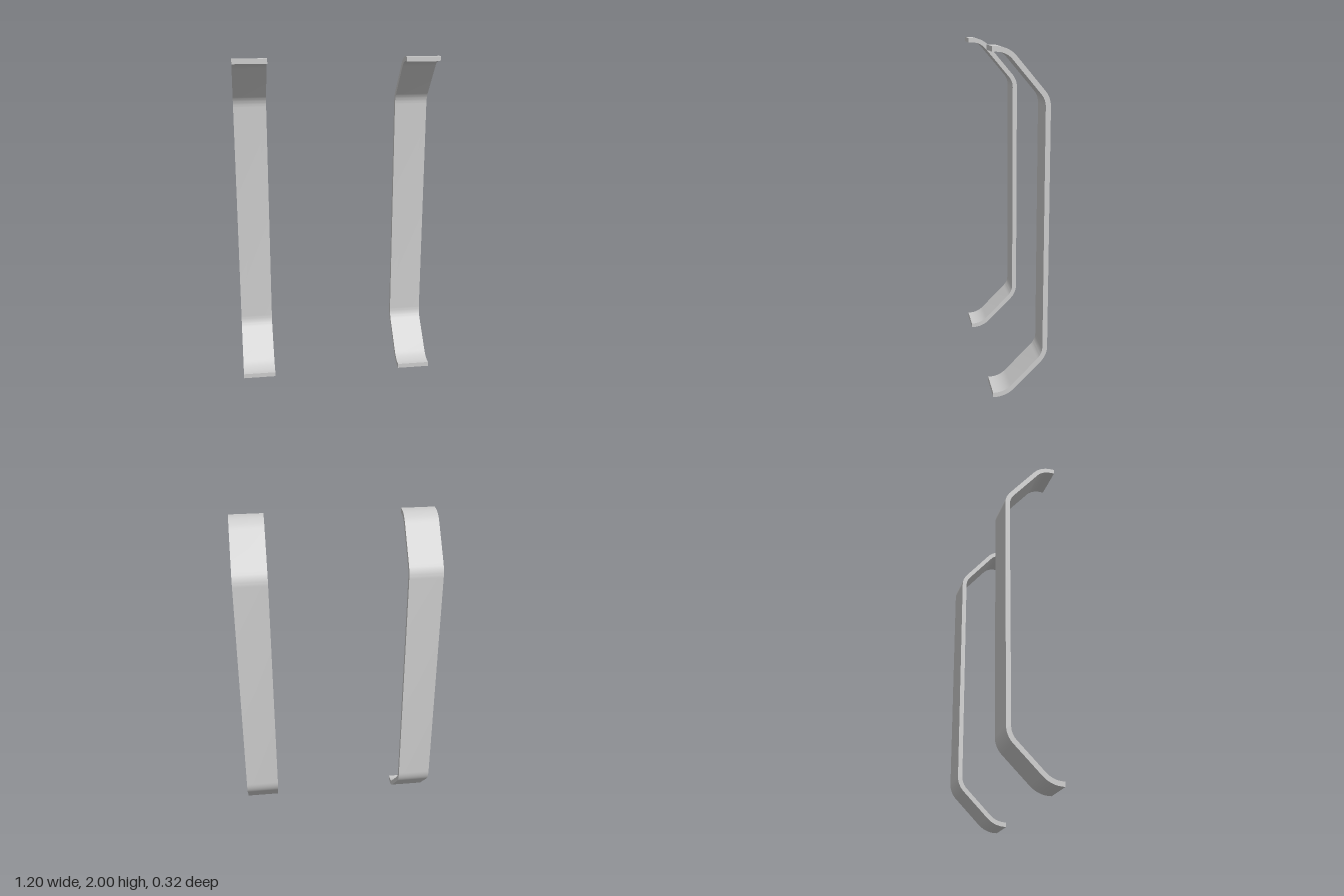
import * as THREE from 'three';
import { toCreasedNormals } from 'three/addons/utils/BufferGeometryUtils.js';

const THICKNESS = 0.028, WIDTH = 0.2, ARC_STEPS = 10;

// Centre line corners in (z, y), with a bend radius at each inner corner
const CORNERS = [
  { p: [0.158, 0.014] },
  { p: [0.087, 0.014], r: 0.145 },
  { p: [-0.144, 0.248], r: 0.12 },
  { p: [-0.144, 1.725], r: 0.115 },
  { p: [0.0755, 1.986], r: 0.125 },
  { p: [0.158, 1.986] },
];

// Closed outline of a strip that follows the rounded centre line
function stripOutline() {
  const pts = CORNERS.map(c => new THREE.Vector2(...c.p));
  const outer = [], inner = [];
  const add = (p, normal) => {
    outer.push(p.clone().addScaledVector(normal, THICKNESS / 2));
    inner.push(p.clone().addScaledVector(normal, -THICKNESS / 2));
  };
  const up = new THREE.Vector2(0, 1), down = new THREE.Vector2(0, -1);
  add(pts[0], down);
  for (let i = 1; i < pts.length - 1; i++) {
    const a = pts[i].clone().sub(pts[i - 1]).normalize();
    const b = pts[i + 1].clone().sub(pts[i]).normalize();
    const turn = Math.acos(a.dot(b)), r = CORNERS[i].r;
    const n = new THREE.Vector2(-a.y, a.x);               // outward side of the bend
    const sign = a.cross(b) < 0 ? 1 : -1;
    n.multiplyScalar(sign);
    const centre = pts[i].clone().addScaledVector(a, -r * Math.tan(turn / 2)).addScaledVector(n, -r);
    for (let k = 0; k <= ARC_STEPS; k++) {
      const dir = n.clone().rotateAround(new THREE.Vector2(), -sign * turn * k / ARC_STEPS);
      add(centre.clone().addScaledVector(dir, r), dir);
    }
  }
  add(pts[pts.length - 1], up);
  return new THREE.Shape([...outer, ...inner.reverse()]);
}

export function createModel() {
  const model = new THREE.Group();
  model.name = 'bracketPair';

  const extruded = new THREE.ExtrudeGeometry(stripOutline(), { depth: WIDTH, bevelEnabled: false });
  extruded.translate(0, 0, -WIDTH / 2).rotateY(-Math.PI / 2);
  const geometry = toCreasedNormals(extruded, Math.PI / 6);
  const material = new THREE.MeshStandardMaterial({ color: 0xcccccc });

  // Two identical bent flat bars
  for (const [name, x] of [['leftBar', 0.5], ['rightBar', -0.5]]) {
    const bar = new THREE.Mesh(geometry, material);
    bar.name = name;
    bar.position.x = x;
    model.add(bar);
  }
  return model;
}
